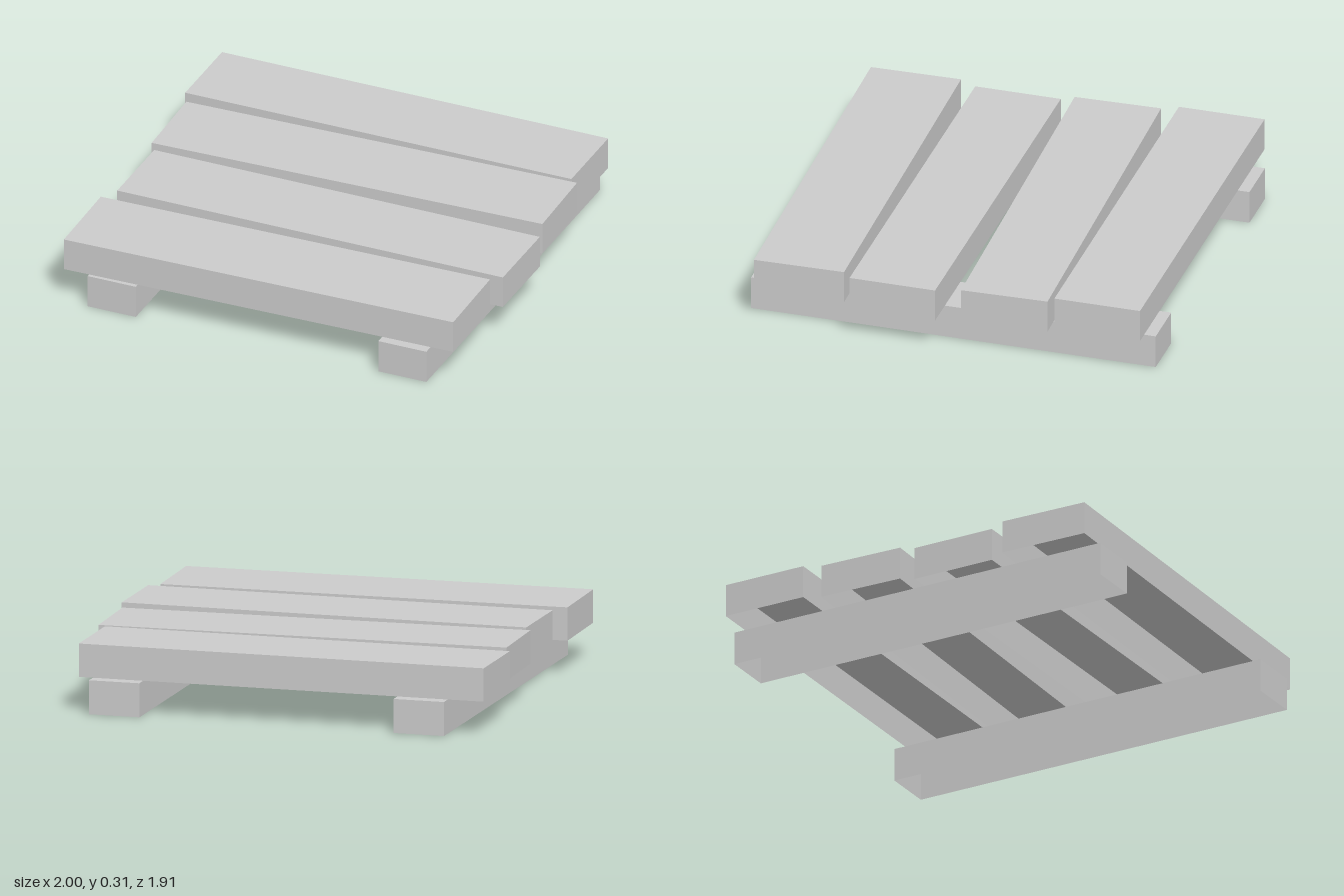
import * as THREE from 'three';

const material = new THREE.MeshStandardMaterial({
  color: 0xcccccc, flatShading: true, side: THREE.DoubleSide,
});

// Box shell standing on y = 0 with its underside left open
function openBox(width, height, depth) {
  const geometry = new THREE.BoxGeometry(width, height, depth);
  const index = Array.from(geometry.index.array);
  index.splice(18, 6); // the -y face
  geometry.setIndex(index);
  geometry.clearGroups();
  return geometry.translate(0, height / 2, 0);
}

export function createModel() {
  const model = new THREE.Group();
  model.name = 'pallet';

  const add = (name, size, position, turn = 0) => {
    const mesh = new THREE.Mesh(openBox(...size), material);
    mesh.name = name;
    mesh.position.set(...position);
    mesh.rotation.y = turn;
    model.add(mesh);
  };

  // Two runners from front to back
  add('rightRunner', [0.238, 0.157, 1.914], [-0.71, 0, 0]);
  add('leftRunner', [0.238, 0.157, 1.914], [0.73, 0, 0]);

  // Four deck planks, slightly shifted and turned: x, z, depth, turn
  const planks = [
    [-0.043, -0.7, 0.405, 0],
    [0, -0.248, 0.406, 0.027],
    [0.042, 0.24, 0.405, -0.003],
    [0, 0.715, 0.424, 0.0185],
  ];
  planks.forEach(([x, z, depth, turn], i) =>
    add(`plank${i + 1}`, [1.914, 0.154, depth], [x, 0.158, z], turn));

  return model;
}
